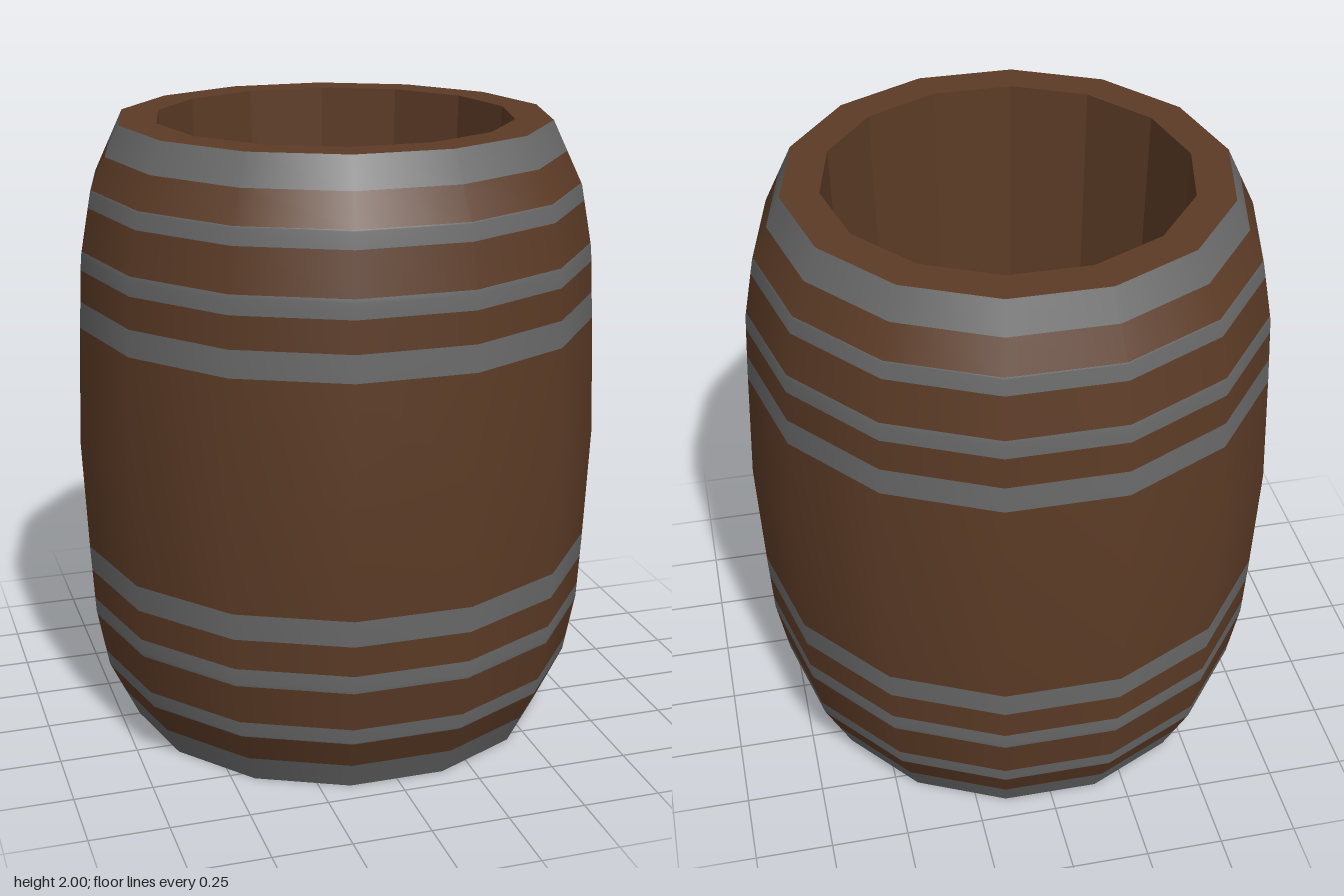
import * as THREE from 'three';

const SIDES = 14;

const wood = new THREE.MeshStandardMaterial({ color: 0x5c3b26 });
wood.name = 'brown wood';
const iron = new THREE.MeshStandardMaterial({ color: 0x696969 });
iron.name = 'grey iron';

// Half silhouette of the barrel: [height above the middle, radius]
const BULGE = [[0, 0.85], [0.4, 0.833], [0.6, 0.822], [0.8, 0.785], [1, 0.69]];
// Hoops as [start, end] heights above the middle, mirrored below it
const HOOPS = [[0.37, 0.455], [0.555, 0.615], [0.75, 0.805], [0.905, 1]];

function radiusAt(h) {
  const i = Math.max(1, BULGE.findIndex(([y]) => y >= h));
  const [y0, r0] = BULGE[i - 1];
  const [y1, r1] = BULGE[i];
  return THREE.MathUtils.mapLinear(h, y0, y1, r0, r1);
}

// Ring of sides with corners on the x axis
function lathe(points) {
  const profile = points.map(([r, y]) => new THREE.Vector2(r, y));
  return new THREE.LatheGeometry(profile, SIDES, Math.PI / 2);
}

function flatLathe(points) {
  const geometry = lathe(points).toNonIndexed();
  geometry.computeVertexNormals();
  return geometry;
}

function addPart(group, name, geometry, material) {
  const mesh = new THREE.Mesh(geometry, material);
  mesh.name = name;
  group.add(mesh);
}

export function createModel() {
  const barrel = new THREE.Group();
  barrel.name = 'barrel';

  // Smooth outer wall, cut at every bulge ring and hoop edge
  const upper = [...new Set([...BULGE.map(([y]) => y), ...HOOPS.flat()])].sort((a, b) => a - b);
  const heights = [...upper.slice(1).reverse().map((h) => -h), ...upper];
  const wall = lathe(heights.map((h) => [radiusAt(Math.abs(h)), h + 1]));

  // Share the wall surface between staves and hoops, row by row
  const rows = heights.length - 1;
  const faces = { staves: [], hoops: [] };
  for (let side = 0; side < SIDES; side++) {
    for (let row = 0; row < rows; row++) {
      const middle = Math.abs(heights[row] + heights[row + 1]) / 2;
      const isHoop = HOOPS.some(([from, to]) => middle > from && middle < to);
      const start = (side * rows + row) * 6;
      for (let k = 0; k < 6; k++) {
        faces[isHoop ? 'hoops' : 'staves'].push(wall.index.getX(start + k));
      }
    }
  }
  for (const [name, material] of [['staves', wood], ['hoops', iron]]) {
    const part = wall.clone();
    part.setIndex(faces[name]);
    addPart(barrel, name, part, material);
  }

  // Flat rim, tapering hollow with its floor, and closed underside
  addPart(barrel, 'rim', flatLathe([[0.69, 2], [0.57, 2]]), wood);
  addPart(barrel, 'innerWall', flatLathe([[0.57, 2], [0.52, 0.2]]), wood);
  addPart(barrel, 'innerFloor', flatLathe([[0.52, 0.2], [0, 0.2]]), wood);
  addPart(barrel, 'underside', flatLathe([[0, 0], [0.69, 0]]), wood);

  return barrel;
}
